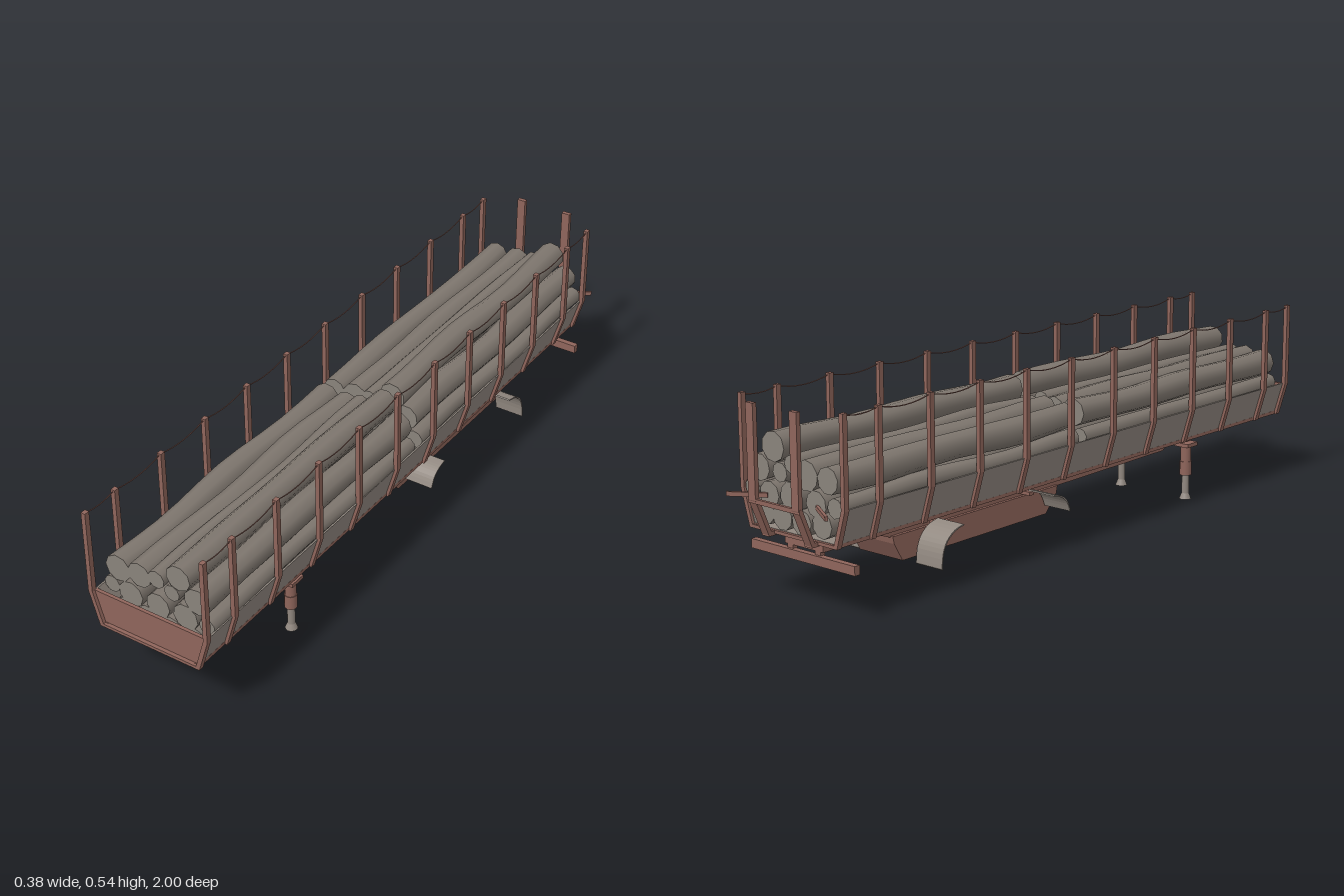
import * as THREE from 'three';

const mat = (name, color, side = THREE.FrontSide) => {
  const m = new THREE.MeshStandardMaterial({ color, side });
  m.name = name;
  return m;
};

export function createModel() {
  const root = new THREE.Group();
  root.name = 'logTrailer';
  const rust = mat('rustyPaint', 0x8f655b);
  const steel = mat('bareSteel', 0x918880, THREE.DoubleSide);
  const bark = mat('bark', 0x7f776f);
  const wood = mat('cutWood', 0x89837b);

  const add = (name, geometry, material, x = 0, y = 0, z = 0) => {
    const m = new THREE.Mesh(geometry, material);
    m.name = name;
    m.position.set(x, y, z);
    root.add(m);
    return m;
  };
  // box given by its limits
  const box = (name, material, x0, x1, y0, y1, z0, z1) =>
    add(name, new THREE.BoxGeometry(Math.abs(x1 - x0), y1 - y0, z1 - z0), material,
      (x0 + x1) / 2, (y0 + y1) / 2, (z0 + z1) / 2);
  // outline in x,y drawn out along z
  const extrude = (pts, z0, z1) => {
    const shape = new THREE.Shape(pts.map(p => new THREE.Vector2(...p)));
    return new THREE.ExtrudeGeometry(shape, { depth: z1 - z0, bevelEnabled: false }).translate(0, 0, z0);
  };
  // outline in z,y drawn out along x
  const extrudeX = (pts, x0, x1) => extrude(pts.map(([z, y]) => [-z, y]), x0, x1).rotateY(Math.PI / 2);

  // bent stakes with a cross beam under the floor at each pair
  const stations = [0.99, 0.874, 0.687, 0.5, 0.313, 0.126, -0.061, -0.248, -0.435, -0.622, -0.809, -0.93];
  const w = 0.008;
  for (const z of stations) {
    for (const s of [1, -1]) {
      const outline = [[0.145, 0.19], [0.158, 0.19], [0.188, 0.292], [0.188, 0.538], [0.175, 0.538], [0.175, 0.292]];
      add('stake', extrude(outline.map(([x, y]) => [s * x, y]), z - w, z + w), rust);
    }
    box('crossBeam', rust, -0.152, 0.152, 0.19, 0.199, z - w, z + w);
  }

  // sagging cables between stake tops
  for (const s of [1, -1]) {
    for (let i = 0; i < stations.length - 1; i++) {
      const a = stations[i], b = stations[i + 1], sag = (a - b) * 0.14;
      const curve = new THREE.QuadraticBezierCurve3(
        new THREE.Vector3(s * 0.182, 0.534, a),
        new THREE.Vector3(s * 0.182, 0.534 - sag, (a + b) / 2),
        new THREE.Vector3(s * 0.182, 0.534, b));
      add('cable', new THREE.TubeGeometry(curve, 8, 0.0016, 5), rust);
    }
  }

  // trough: floor, sloped sides, sill rails and front board
  box('floor', steel, -0.132, 0.132, 0.184, 0.191, -0.92, 0.97);
  box('floorDeck', steel, -0.148, 0.148, 0.195, 0.2, -0.93, 0.98);
  for (const s of [1, -1]) {
    const panel = [[0.146, 0.2], [0.151, 0.198], [0.179, 0.292], [0.174, 0.292]];
    add('sidePanel', extrude(panel.map(([x, y]) => [s * x, y]), -0.93, 0.985), steel);
    box('sillRail', rust, s * 0.138, s * 0.152, 0.19, 0.2, -0.935, 0.99);
  }
  add('frontBoard', extrude([[-0.15, 0.2], [0.15, 0.2], [0.178, 0.292], [-0.178, 0.292]], 0.978, 0.988), rust);

  // rear frame: bent posts and a rail wrapping around the corners
  for (const s of [1, -1]) {
    const post = [[-0.945, 0.19], [-0.958, 0.19], [-0.999, 0.288], [-0.999, 0.538], [-0.986, 0.538], [-0.986, 0.29]];
    add('rearPost', extrudeX(post, s * 0.078 - 0.013, s * 0.078 + 0.013), rust);
    box('rearPostFoot', rust, s * 0.065, s * 0.091, 0.186, 0.198, -0.958, -0.9);
    const corner = box('rearCornerRail', rust, -0.054, 0.054, 0.28, 0.292, -0.004, 0.004);
    corner.position.set(s * 0.135, 0.286, -0.964);
    corner.rotation.y = s * Math.atan2(0.056, 0.09);
  }
  box('rearRail', rust, -0.092, 0.092, 0.28, 0.292, -0.998, -0.989);

  // chassis spine with stepped underside, and the suspension box
  add('chassis', extrudeX([[0.86, 0.185], [0.82, 0.173], [0.54, 0.171], [0.51, 0.148], [-0.02, 0.142],
    [-0.66, 0.142], [-0.7, 0.157], [-0.9, 0.157], [-0.9, 0.185]], -0.069, 0.069), rust);
  add('suspensionBox', extrudeX([[0.005, 0.146], [0, 0.125], [-0.045, 0.074], [-0.625, 0.074],
    [-0.655, 0.125], [-0.66, 0.146]], -0.078, 0.078), rust);

  // rear underrun bar
  box('rearBumper', rust, -0.188, 0.188, 0.122, 0.147, -0.908, -0.89);
  for (const s of [1, -1]) box('bumperBracket', rust, s * 0.04, s * 0.06, 0.135, 0.19, -0.9, -0.885);

  // curved mudguards, listed as z,y paths
  const guards = [
    [[-0.13, 0.164], [-0.1, 0.156], [-0.075, 0.138], [-0.06, 0.107]],
    [[-0.5, 0.164], [-0.535, 0.155], [-0.565, 0.132], [-0.58, 0.1], [-0.585, 0.06]],
  ];
  for (const path of guards) {
    const curve = new THREE.SplineCurve(path.map(p => new THREE.Vector2(...p)));
    const outer = curve.getPoints(12).map(p => [p.x, p.y]);
    const inner = outer.map(([z, y]) => [z + (path[0][0] < -0.3 ? 0.003 : -0.003), y - 0.003]).reverse();
    for (const s of [1, -1]) {
      add('mudguard', extrudeX([...outer, ...inner], s * 0.134 - 0.046, s * 0.134 + 0.046), steel);
      box('mudguardArm', rust, s * 0.06, s * 0.1, 0.15, 0.16, path[0][0] - 0.012, path[0][0] + 0.004);
    }
  }

  // landing legs
  for (const s of [1, -1]) {
    const x = s * 0.122, z = 0.555;
    box('legCap', rust, x - 0.025, x + 0.025, 0.164, 0.175, z - 0.025, z + 0.025);
    box('legMount', rust, s * 0.06, s * 0.122, 0.174, 0.186, z - 0.018, z + 0.018);
    add('legUpper', new THREE.CylinderGeometry(0.016, 0.016, 0.05, 12), rust, x, 0.14, z);
    add('legSleeve', new THREE.CylinderGeometry(0.018, 0.018, 0.042, 12), rust, x, 0.096, z);
    add('legShaft', new THREE.CylinderGeometry(0.011, 0.011, 0.07, 12), steel, x, 0.045, z);
    add('legFoot', new THREE.CylinderGeometry(0.011, 0.018, 0.018, 12), steel, x, 0.009, z);
  }

  // logs: x, y, radius; each wavers along its length
  const logs = [
    [-0.104, 0.238, 0.035], [-0.035, 0.237, 0.035], [0.036, 0.238, 0.035], [0.104, 0.238, 0.035],
    [-0.148, 0.296, 0.026], [-0.085, 0.292, 0.037], [0, 0.294, 0.039], [0.082, 0.292, 0.037], [0.148, 0.296, 0.026],
    [-0.124, 0.359, 0.038], [-0.053, 0.363, 0.039], [-0.002, 0.378, 0.025], [0.042, 0.353, 0.025],
    [0.12, 0.357, 0.038], [0.069, 0.413, 0.039],
  ];
  const makeLog = ([x, y, r], z, length, k) => {
    const g = new THREE.CylinderGeometry(r, r, length, 9, 10).rotateX(Math.PI / 2).rotateZ(k);
    const p = g.attributes.position;
    for (let i = 0; i < p.count; i++) {
      const t = p.getZ(i);
      const swell = 1 + 0.05 * Math.sin(t * 13 + k * 2.3);
      p.setXY(i, p.getX(i) * swell + 0.004 * Math.sin(t * 9 + k),
        p.getY(i) * swell + 0.003 * Math.sin(t * 11 + k * 1.7));
    }
    add('log', g, [bark, wood, wood], x, y, z);
  };
  logs.forEach((log, i) => {
    makeLog(log, 0.485, 0.93, i * 1.3);
    makeLog(log, -0.475, 0.92, i * 1.3 + 4);
  });

  return root;
}
